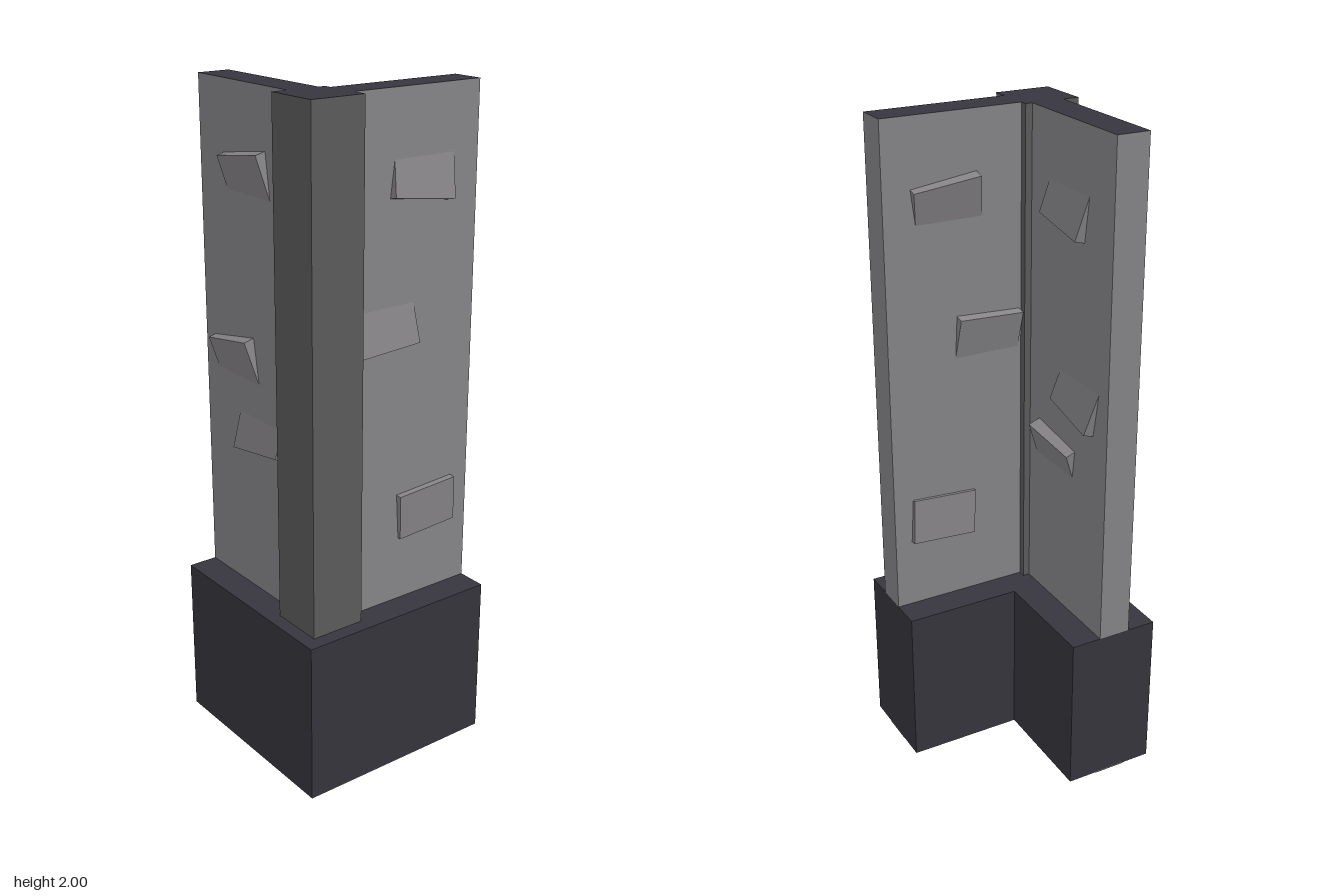
import * as THREE from 'three';

export function createModel() {
  const model = new THREE.Group();
  const mat = (name, color) => {
    const m = new THREE.MeshStandardMaterial({ color });
    m.name = name;
    return m;
  };
  const dark = mat('dark stone', 0x37353d);
  const grey = mat('wall plaster', 0x878588);
  const shade = mat('post plaster', 0x5c5c5c);

  const add = (name, geometry, material, parent = model) => {
    const mesh = new THREE.Mesh(geometry, material);
    mesh.name = name;
    parent.add(mesh);
    return mesh;
  };

  // Extruded corner plan: outer edge o, inner edge i, ends at e
  const corner = (o, i, e, y0, y1) => {
    const shape = new THREE.Shape(
      [[-o, -o], [e, -o], [e, -i], [-i, -i], [-i, e], [-o, e]].map(p => new THREE.Vector2(...p)));
    return new THREE.ExtrudeGeometry(shape, { depth: y1 - y0, bevelEnabled: false })
      .rotateX(-Math.PI / 2).translate(0, y0, 0);
  };

  // Footing with its underside
  add('base', corner(0.32, 0.037, 0.32, 0.004, 0.5), dark);
  add('underside', corner(0.32, 0.037, 0.32, 0.002, 0.004), grey);
  add('undersideStrip', corner(0.23, 0.13, 0.32, 0, 0.002), dark);

  // Upright box with a dark top
  const upright = (name, x0, x1, z0, z1, side) =>
    add(name, new THREE.BoxGeometry(x1 - x0, 1.5, z1 - z0), [side, side, dark, side, side, side])
      .position.set((x0 + x1) / 2, 1.25, (z0 + z1) / 2);
  upright('cornerPost', -0.278, -0.109, 0.107, 0.276, shade);
  upright('frontWall', -0.109, 0.32, 0.13, 0.23, grey);
  upright('sideWall', -0.23, -0.13, -0.32, 0.107, grey);

  // Tilted stones passing through each wall: along, height, roll, tilt, thickness
  const stones = (name, x, z, turn, list) => {
    const wall = new THREE.Group();
    wall.name = name;
    wall.position.set(x, 0, z);
    wall.rotation.y = turn;
    model.add(wall);
    for (const [along, y, roll, tilt, t] of list) {
      const stone = add('stone', new THREE.BoxGeometry(0.205, 0.14, t), grey, wall);
      stone.position.set(along, y, 0);
      stone.rotation.set(tilt, 0, roll);
    }
  };
  stones('frontWallStones', 0, 0.18, 0, [
    [0.125, 1.755, -0.13, -0.25, 0.125],
    [0.002, 1.348, 0.05, -0.22, 0.125],
    [0.16, 0.778, 0.06, 0.06, 0.13],
  ]);
  stones('sideWallStones', -0.18, 0, Math.PI / 2, [
    [0.088, 1.755, -0.15, -0.25, 0.125],
    [0.16, 1.215, -0.18, -0.25, 0.125],
    [0.042, 1.005, -0.13, 0.35, 0.125],
  ]);

  return model;
}
